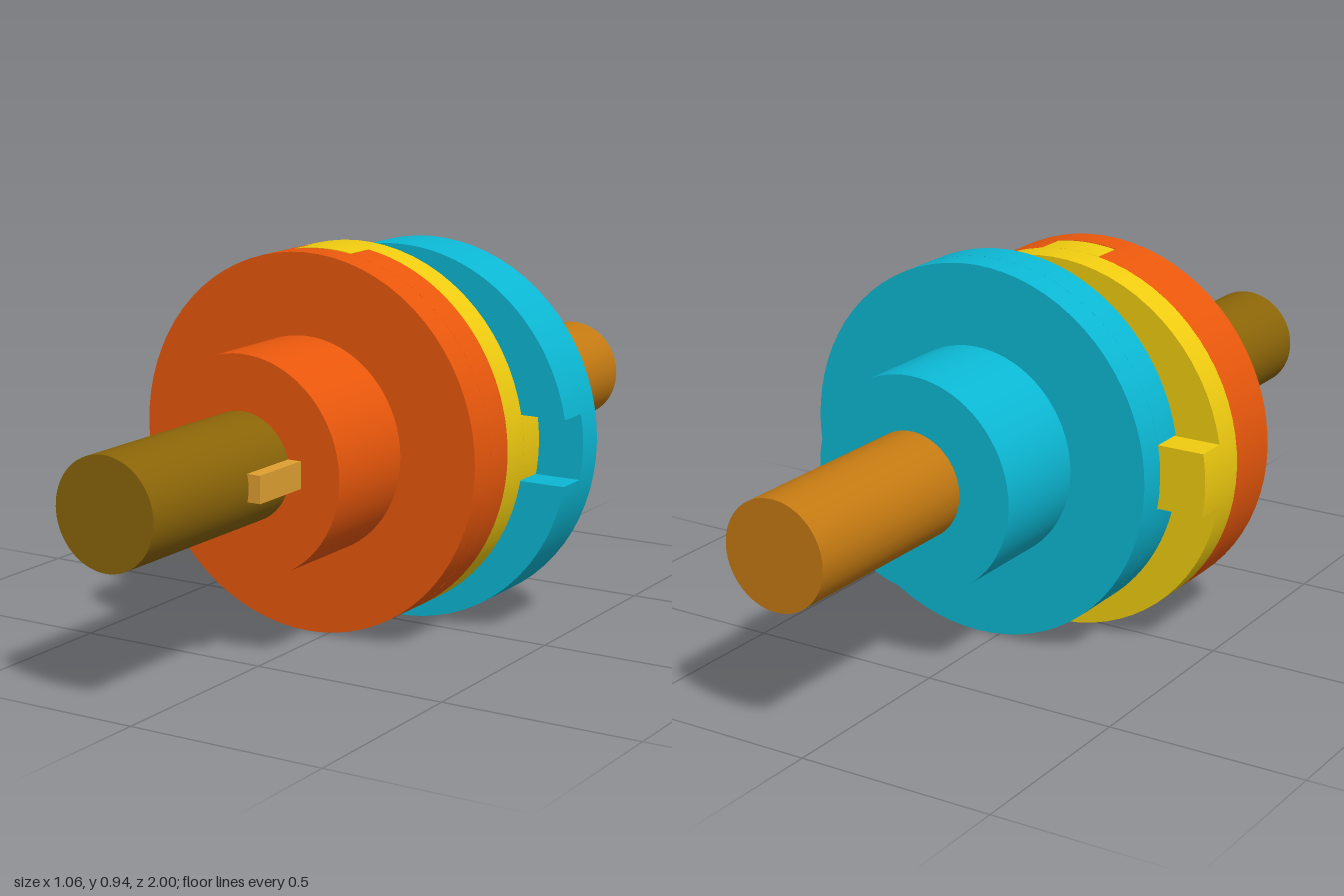
import * as THREE from 'three';
import { toCreasedNormals } from 'three/addons/utils/BufferGeometryUtils.js';

const R = 0.472, AXIS_Y = 0.472, OFFSET = 0.059;
const mat = (color) => new THREE.MeshStandardMaterial({ color });
const ORANGE = mat(0xea580c), CYAN = mat(0x0cb8d4), YELLOW = mat(0xf0cc10);
const DARK_SHAFT = mat(0x8b6508), LIGHT_SHAFT = mat(0xc47a12), KEY = mat(0xe0a030);

function add(parent, name, geometry, material) {
  const mesh = new THREE.Mesh(geometry, material);
  mesh.name = name;
  parent.add(mesh);
  return mesh;
}

// Round solid along z between z0 and z1
function rod(r, z0, z1) {
  return new THREE.CylinderGeometry(r, r, z1 - z0, 72)
    .rotateX(Math.PI / 2).translate(0, 0, (z0 + z1) / 2);
}

// Flat outline extruded along z between z0 and z1
function slab(shape, z0, z1) {
  const g = new THREE.ExtrudeGeometry(shape, { depth: z1 - z0, bevelEnabled: false, curveSegments: 32 });
  return toCreasedNormals(g.translate(0, 0, z0), 0.5);
}

// Part of the disc lying right of x = h
function segment(h) {
  const a = Math.acos(h / R);
  return new THREE.Shape().absarc(0, 0, R, -a, a, false);
}

// Strip of the disc between x = -h and x = h, with rounded ends
function strip(h) {
  const a = Math.acos(h / R);
  return new THREE.Shape()
    .absarc(0, 0, R, a, Math.PI - a, false)
    .absarc(0, 0, R, Math.PI + a, 2 * Math.PI - a, false);
}

// Flange with a slot across its inner face, hub, shaft and key; outward is +z
function half(name, color, shaftColor, slotAngle, keySide, keyEnd) {
  const g = new THREE.Group();
  g.name = name;
  add(g, 'flange', rod(R, 0.125, 0.2), color);
  for (const turn of [0, Math.PI]) {
    add(g, 'slotCheek', slab(segment(0.082), 0.04, 0.125), color).rotation.z = slotAngle + turn;
  }
  add(g, 'hub', rod(0.269, 0.2, 0.472), color);
  add(g, 'shaft', rod(0.133, 0.2, 1), shaftColor);
  const keyStart = 0.3;
  add(g, 'key', new THREE.BoxGeometry(0.066, 0.066, keyEnd - keyStart), KEY)
    .position.set(keySide * 0.131, 0, (keyStart + keyEnd) / 2);
  return g;
}

export function createModel() {
  const model = new THREE.Group();
  model.name = 'slidingShaftCoupling';

  const front = half('frontHalf', ORANGE, DARK_SHAFT, 0, 1, 0.64);
  front.position.set(-OFFSET, AXIS_Y, 0);

  // Rear half is turned around, its slot lies crosswise
  const rear = half('rearHalf', CYAN, LIGHT_SHAFT, Math.PI / 2, -1, 0.72);
  rear.position.set(OFFSET, AXIS_Y, 0);
  rear.rotation.y = Math.PI;

  // Middle disc with two tongues at right angles
  const middle = new THREE.Group();
  middle.name = 'middleDisc';
  middle.position.set(-OFFSET, AXIS_Y, 0);
  add(middle, 'disc', rod(R, -0.04, 0.04), YELLOW);
  add(middle, 'frontTongue', slab(strip(0.08), 0.04, 0.12), YELLOW);
  add(middle, 'rearTongue', slab(strip(0.08), -0.12, -0.04), YELLOW).rotation.z = Math.PI / 2;

  model.add(front, rear, middle);
  return model;
}
